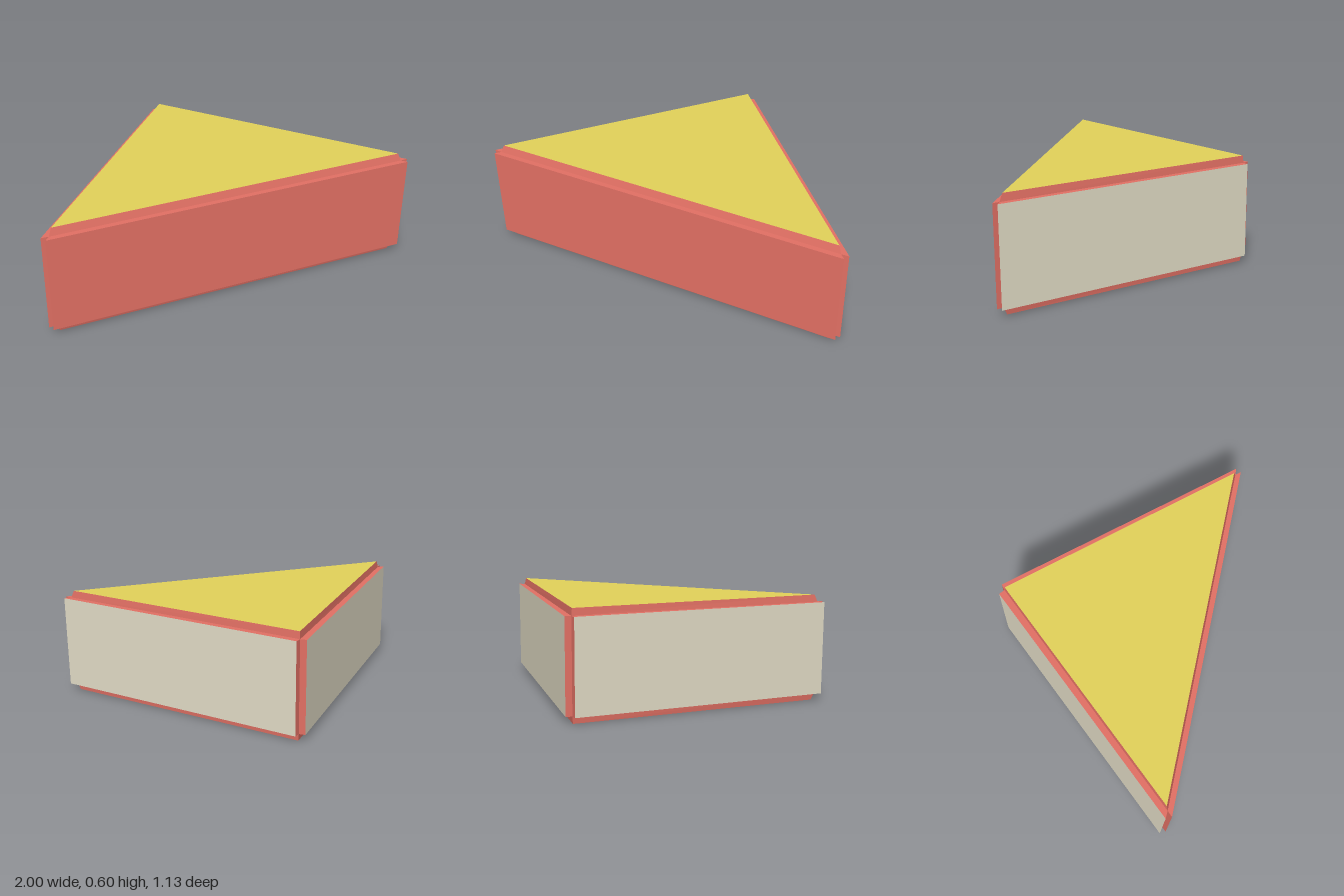
import * as THREE from 'three';

const crust = new THREE.MeshStandardMaterial({ color: 0xe27064 });
crust.name = 'red';
const cream = new THREE.MeshStandardMaterial({ color: 0xe2dcc6 });
cream.name = 'cream';
const yellow = new THREE.MeshStandardMaterial({ color: 0xe2d259 });
yellow.name = 'yellow';
[crust, cream, yellow].forEach((m) => { m.flatShading = true; });

// Panel between an inner ring and an outer ring, both counter-clockwise from outside.
// Group 0 is the rim, group 1 the outer face.
function panel(name, inner, outer, faceMaterial) {
  const pos = [];
  const tri = (a, b, c) => pos.push(...a, ...b, ...c);
  const n = inner.length;
  for (let i = 0; i < n; i++) {
    const j = (i + 1) % n;
    tri(inner[i], inner[j], outer[j]);
    tri(inner[i], outer[j], outer[i]);
  }
  for (let i = 1; i < n - 1; i++) tri(outer[0], outer[i], outer[i + 1]);
  const geo = new THREE.BufferGeometry();
  geo.setAttribute('position', new THREE.Float32BufferAttribute(pos, 3));
  geo.addGroup(0, n * 6, 0);
  geo.addGroup(n * 6, (n - 2) * 3, 1);
  geo.computeVertexNormals();
  const mesh = new THREE.Mesh(geo, [crust, faceMaterial]);
  mesh.name = name;
  return mesh;
}

export function createModel() {
  const group = new THREE.Group();
  group.name = 'wedgeSlice';
  const low = 0.04, high = 0.56, top = 0.6;

  // Plan corners (x, z) of the wedge
  const L = [-0.96, 0.54], R = [0.96, 0.54], A = [0, -0.545];
  const at = ([x, z], y) => [x, y, z];
  const wall = (a, b) => [at(a, low), at(b, low), at(b, high), at(a, high)];

  // Walls pushed outwards from each edge of the wedge
  group.add(panel('frontWall', wall(L, R), wall([-0.985, 0.567], [0.985, 0.567]), crust));
  group.add(panel('leftWall', wall(R, A), wall([1, 0.538], [0.028, -0.567]), cream));
  group.add(panel('rightWall', wall(A, L), wall([-0.028, -0.567], [-1, 0.538]), cream));

  // Top and bottom caps, slightly narrower at their outer faces
  const plan = [L, R, A];
  const capPlan = [[-0.945, 0.53], [0.945, 0.53], [0, -0.54]];
  const ring = (points, y) => points.map((p) => at(p, y));
  group.add(panel('topCap', ring(plan, high), ring(capPlan, top), yellow));
  group.add(panel('bottomCap', ring(plan, low).reverse(), ring(capPlan, 0).reverse(), crust));
  return group;
}
